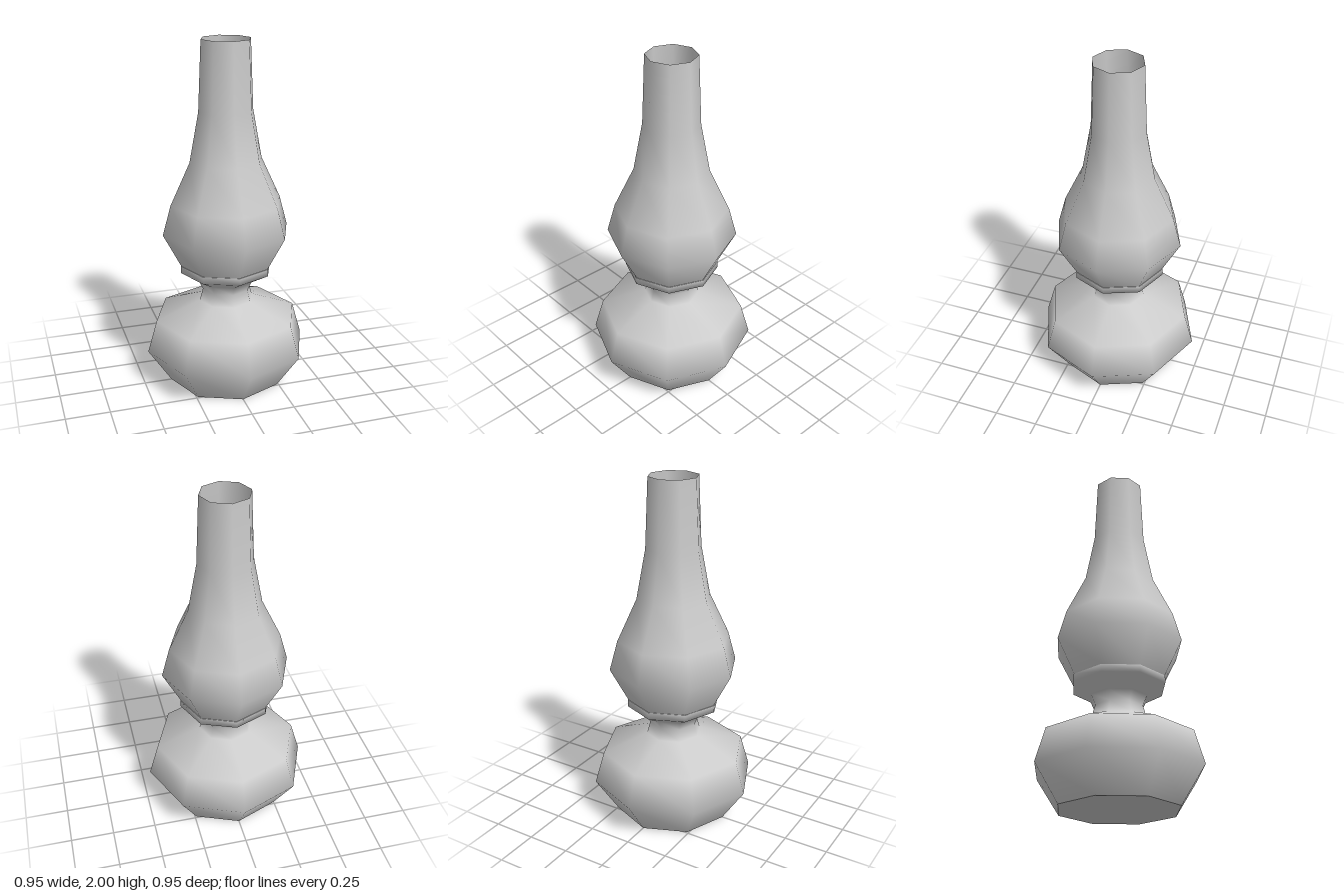
import * as THREE from 'three';

const SIDES = 8;
const material = new THREE.MeshStandardMaterial({ color: 0xcccccc });
const glassMaterial = new THREE.MeshStandardMaterial({ color: 0xcccccc, side: THREE.DoubleSide });

// Smooth eight-sided turned part from [radius, height] pairs, bottom to top
function turned(name, profile, mat = material) {
  const points = profile.map(([r, y]) => new THREE.Vector2(r, y));
  const mesh = new THREE.Mesh(new THREE.LatheGeometry(points, SIDES), mat);
  mesh.name = name;
  return mesh;
}

// Flat octagonal disc facing up (1) or down (-1)
function disc(name, radius, y, facing) {
  const mesh = new THREE.Mesh(new THREE.CircleGeometry(radius, SIDES), material);
  mesh.rotation.x = -facing * Math.PI / 2;
  mesh.position.y = y;
  mesh.name = name;
  return mesh;
}

export function createModel() {
  const lamp = new THREE.Group();
  lamp.name = 'oilLamp';

  // Fuel bowl, narrow neck and flared burner collar
  lamp.add(turned('fuelBowl', [
    [0.34, 0], [0.475, 0.205], [0.42, 0.395], [0.16, 0.495],
    [0.14, 0.565], [0.165, 0.62], [0.27, 0.68], [0.27, 0.722],
  ]));
  lamp.add(disc('bowlBottom', 0.34, 0, -1));
  lamp.add(disc('collarTop', 0.27, 0.722, 1));

  // Open glass chimney
  lamp.add(turned('chimney', [
    [0.267, 0.722], [0.37, 0.92], [0.323, 1.09],
    [0.21, 1.33], [0.157, 1.61], [0.14, 2],
  ], glassMaterial));

  return lamp;
}
